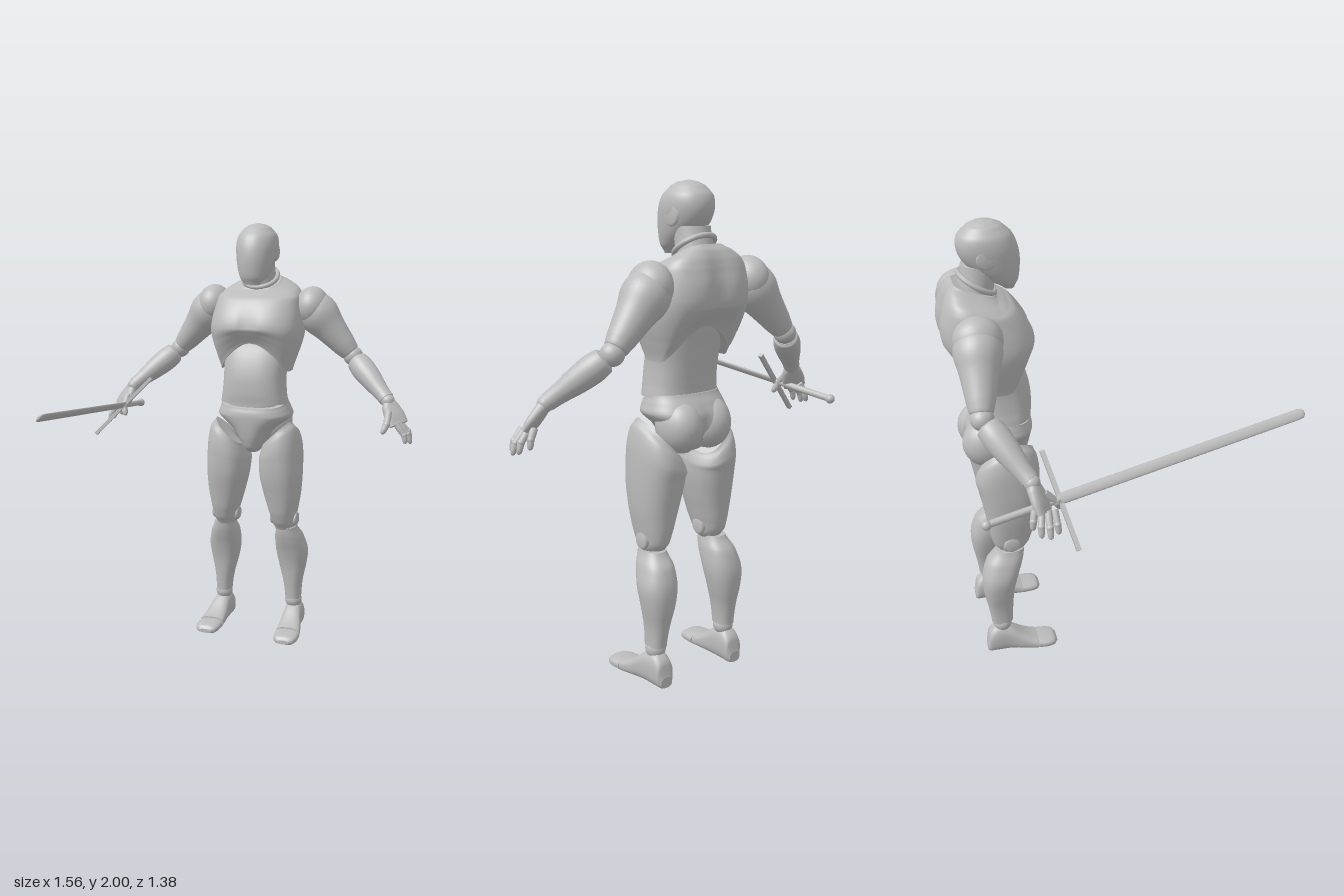
import * as THREE from 'three';

const grey = new THREE.MeshStandardMaterial({ color: 0xbcbcbc });
grey.name = 'grey plastic';
grey.side = THREE.DoubleSide;
const V = (x, y, z) => new THREE.Vector3(x, y, z);
const UP = V(0, 1, 0);
const bell = (v, c, w) => Math.exp(-(((v - c) / w) ** 2));
const ramp = (v, a, b) => Math.min(1, Math.max(0, (v - a) / (b - a)));

function add(group, name, geo, pos) {
  const m = new THREE.Mesh(geo, grey);
  m.name = name;
  if (pos) m.position.copy(pos);
  group.add(m);
  return m;
}

// Smooth closed skin through rows [y, centreX, halfWidth, zFront, zBack]; n = squareness, warp moves points
function loft(rows, { n = 2.4, warp, seg = 48, sub = 5 } = {}) {
  const rings = [];
  for (let i = 0; i < rows.length - 1; i++) {
    const q = [-1, 0, 1, 2].map(k => rows[Math.min(rows.length - 1, Math.max(0, i + k))]);
    for (let s = 0; s < sub; s++) {
      const t = s / sub;
      rings.push(q[0].map((_, k) => {
        const [a, b, c, d] = q.map(r => r[k]);
        return k === 0 ? b + (c - b) * t
          : 0.5 * (2 * b + (c - a) * t + (2 * a - 5 * b + 4 * c - d) * t * t + (3 * b - a - 3 * c + d) * t ** 3);
      }));
    }
  }
  rings.push(rows[rows.length - 1]);
  const pos = [], idx = [];
  const pw = v => Math.sign(v) * Math.abs(v) ** (2 / n);
  const ring = ([y, cx, hw, zf, zb]) => {
    for (let i = 0; i < seg; i++) {
      const a = (i / seg) * Math.PI * 2;
      const p = V(cx + hw * pw(Math.cos(a)), y, (zf + zb) / 2 + ((zf - zb) / 2) * pw(Math.sin(a)));
      if (warp) warp(p);
      pos.push(p.x, p.y, p.z);
    }
  };
  rings.forEach(ring);
  for (let j = 0; j < rings.length - 1; j++) for (let i = 0; i < seg; i++) {
    const a = j * seg + i, b = j * seg + (i + 1) % seg;
    idx.push(a, a + seg, b, b, a + seg, b + seg);
  }
  // End caps with their own rings so the rims stay crisp
  [rings[0], rings[rings.length - 1]].forEach((r, top) => {
    const s = pos.length / 3;
    ring(r);
    const c = V(r[1], r[0], (r[3] + r[4]) / 2);
    if (warp) warp(c);
    pos.push(c.x, c.y, c.z);
    for (let i = 0; i < seg; i++) {
      const j = (i + 1) % seg;
      idx.push(s + seg, s + (top ? j : i), s + (top ? i : j));
    }
  });
  const g = new THREE.BufferGeometry();
  g.setAttribute('position', new THREE.Float32BufferAttribute(pos, 3));
  g.setIndex(idx);
  g.computeVertexNormals();
  return g;
}

// Limb from a to b, rows [fraction, radius]
function bone(group, name, a, b, rows, seg = 32) {
  const d = b.clone().sub(a), L = d.length();
  const m = add(group, name, loft(rows.map(([t, r]) => [t * L, 0, r, r, -r]), { n: 2, seg, sub: 4 }), a);
  m.quaternion.setFromUnitVectors(UP, d.normalize());
}

const ball = (group, name, r, p) => add(group, name, new THREE.SphereGeometry(r, 28, 20), p);
function disc(group, name, r, len, p) {
  const b = 0.008, h = len / 2;
  const prof = [[0, -h], [r - b, -h], [r, -h + b], [r, h - b], [r - b, h], [0, h]].map(([x, y]) => new THREE.Vector2(x, y));
  add(group, name, new THREE.LatheGeometry(prof, 28).rotateZ(Math.PI / 2), p);
}

function buildTrunk(g) {
  add(g, 'head', loft([
    [1.722, 0, 0.036, -0.372, -0.42], [1.755, 0, 0.062, -0.356, -0.47], [1.8, 0, 0.08, -0.348, -0.53],
    [1.85, 0, 0.091, -0.346, -0.575], [1.9, 0, 0.096, -0.354, -0.592], [1.945, 0, 0.088, -0.374, -0.584],
    [1.98, 0, 0.06, -0.41, -0.55], [1.994, 0, 0.035, -0.44, -0.52], [2, 0, 0.006, -0.476, -0.488]], { n: 2.1 }));
  for (const s of [-1, 1]) disc(g, 'earDisc', 0.042, 0.02, V(s * 0.084, 1.87, -0.485));
  add(g, 'neck', loft([[1.64, 0, 0.085, -0.46, -0.62], [1.72, 0, 0.076, -0.455, -0.605], [1.83, 0, 0.07, -0.43, -0.58]], { n: 2 }));
  const collar = add(g, 'collar', new THREE.TorusGeometry(0.082, 0.011, 10, 40), V(0, 1.753, -0.522));
  collar.rotation.x = Math.PI / 2 + 0.58;

  // Chest with arched lower rim, pectoral cleft, spine groove and a neckline lower at the front
  add(g, 'chest', loft([
    [1.32, 0, 0.168, -0.365, -0.605], [1.4, 0, 0.192, -0.345, -0.63], [1.46, 0, 0.21, -0.326, -0.655],
    [1.51, 0, 0.218, -0.311, -0.675], [1.56, 0, 0.215, -0.318, -0.69], [1.62, 0, 0.205, -0.35, -0.69],
    [1.68, 0, 0.192, -0.395, -0.675], [1.715, 0, 0.17, -0.42, -0.662], [1.745, 0, 0.125, -0.442, -0.645],
    [1.768, 0, 0.09, -0.452, -0.622]], {
    n: 2.8, seg: 72, warp: p => {
      if (p.z > -0.5) p.z -= 0.016 * bell(p.x, 0, 0.03) * bell(p.y, 1.54, 0.08);
      else p.z += 0.022 * bell(p.x, 0, 0.045) * bell(p.y, 1.58, 0.16);
      p.y -= 0.065 * ramp(p.y, 1.66, 1.768) * ramp(p.z, -0.622, -0.452);
      if (p.y < 1.53) p.y += 0.135 * Math.max(0, 1 - (p.x / 0.165) ** 2) * (1.53 - p.y) / 0.21;
    }
  }));
  add(g, 'abdomen', loft([
    [1.17, 0, 0.16, -0.338, -0.56], [1.22, 0, 0.152, -0.333, -0.562], [1.3, 0, 0.147, -0.337, -0.572],
    [1.38, 0, 0.152, -0.358, -0.585], [1.47, 0, 0.15, -0.395, -0.6]], { n: 2.6 }));
  add(g, 'waistJoint', loft([[1.1, 0, 0.13, -0.36, -0.56], [1.2, 0, 0.135, -0.355, -0.55]]));
  // Pelvis: upper rim dips at the front, lower half widens towards the back
  add(g, 'pelvis', loft([
    [0.93, 0, 0.028, -0.39, -0.5], [0.955, 0, 0.046, -0.365, -0.55], [1.0, 0, 0.074, -0.348, -0.595],
    [1.05, 0, 0.112, -0.338, -0.622], [1.105, 0, 0.176, -0.333, -0.618], [1.15, 0, 0.17, -0.335, -0.595],
    [1.19, 0, 0.158, -0.342, -0.57]], {
    n: 2.4, seg: 64, warp: p => {
      if (p.y > 1.1) p.y -= 0.04 * (p.y - 1.1) / 0.09 * bell(p.z, -0.33, 0.12);
      p.x *= 1 + 0.6 * ramp(p.z, -0.48, -0.58) * bell(p.y, 1.0, 0.05);
      if (p.z < -0.5) p.z += 0.025 * bell(p.x, 0, 0.02) * bell(p.y, 1.02, 0.08);
    }
  }));
  for (const s of [-1, 1]) ball(g, 'buttock', 1, V(s * 0.074, 1.06, -0.535)).scale.set(0.088, 0.108, 0.104);
}

function buildLeg(g, s) {
  const side = rows => rows.map(([y, x, ...r]) => [y, s * x, ...r]);
  // Thigh with its top cut sloping down towards the crotch and the back
  add(g, 'thigh', loft(side([
    [1.09, 0.117, 0.068, -0.35, -0.575], [1.04, 0.125, 0.085, -0.338, -0.592], [0.98, 0.129, 0.096, -0.331, -0.6],
    [0.92, 0.131, 0.1, -0.33, -0.602], [0.82, 0.134, 0.099, -0.335, -0.588], [0.72, 0.142, 0.085, -0.355, -0.572],
    [0.64, 0.147, 0.067, -0.372, -0.562], [0.585, 0.15, 0.053, -0.392, -0.55], [0.548, 0.15, 0.04, -0.415, -0.525]]), {
    warp: p => {
      p.y -= ramp(p.y, 0.86, 1.09) * (0.95 * (0.185 - s * p.x) + 0.06 * ramp(p.z, -0.42, -0.58));
    }
  }));
  ball(g, 'kneeBall', 1, V(s * 0.15, 0.59, -0.475)).scale.set(0.064, 0.058, 0.058);
  disc(g, 'kneeDisc', 0.036, 0.134, V(s * 0.15, 0.596, -0.475));
  add(g, 'calf', loft(side([
    [0.555, 0.16, 0.047, -0.418, -0.545], [0.5, 0.166, 0.066, -0.428, -0.588], [0.42, 0.175, 0.077, -0.455, -0.612],
    [0.34, 0.178, 0.066, -0.475, -0.612], [0.25, 0.181, 0.046, -0.485, -0.598], [0.165, 0.184, 0.038, -0.492, -0.588]])));
  ball(g, 'ankleBall', 0.042, V(s * 0.185, 0.15, -0.54));
  // Foot sections run heel to toe: [z, x, halfWidth, 0, -height]
  const lay = rows => loft(side(rows), { n: 2.6, sub: 4 }).rotateX(Math.PI / 2);
  add(g, 'foot', lay([[-0.617, 0.187, 0.028, -0.005, -0.05], [-0.605, 0.187, 0.04, 0, -0.11], [-0.57, 0.188, 0.045, 0, -0.14],
    [-0.51, 0.19, 0.046, 0, -0.128], [-0.45, 0.195, 0.054, 0, -0.085], [-0.39, 0.2, 0.06, 0, -0.055]]));
  add(g, 'toes', lay([[-0.386, 0.2, 0.06, 0, -0.05], [-0.34, 0.202, 0.06, 0, -0.046],
    [-0.31, 0.202, 0.05, 0, -0.04], [-0.296, 0.202, 0.03, -0.006, -0.026]]));
}

function buildArm(g, s) {
  const P = (x, y, z) => V(s * x, y, z);
  const elbow = P(0.44, 1.39, -0.592), wrist = P(0.638, 1.21, -0.452);
  ball(g, 'shoulder', 1, P(0.245, 1.618, -0.562)).scale.set(0.08, 0.094, 0.098);
  bone(g, 'upperArm', P(0.215, 1.65, -0.56), P(0.432, 1.4, -0.592), [
    [0, 0.05], [0.06, 0.075], [0.18, 0.092], [0.32, 0.094], [0.5, 0.078], [0.68, 0.066], [0.85, 0.056], [0.97, 0.046], [1, 0.035]]);
  ball(g, 'elbowBall', 0.046, elbow);
  bone(g, 'forearm', elbow, wrist, [[0.1, 0.038], [0.13, 0.05], [0.3, 0.056], [0.55, 0.05], [0.8, 0.039], [0.97, 0.035]]);
  ball(g, 'wristBall', 0.032, wrist);

  // Palm: flattened block spread across z
  const knuckle = P(0.7, 1.11, -0.42), d = knuckle.clone().sub(wrist).normalize();
  const palm = add(g, 'palm', loft([[0, 0, 0.024, 0.028, -0.028], [0.03, 0, 0.024, 0.042, -0.038],
    [0.08, 0, 0.022, 0.052, -0.047], [0.122, 0, 0.016, 0.05, -0.045]], { seg: 28 }), wrist);
  palm.quaternion.setFromUnitVectors(UP, d);
  // Fingers in two bent segments, thumb last
  const digits = [
    [[0.69, 1.125, -0.455], [0.712, 1.088, -0.466], [0.718, 1.052, -0.47]],
    [[0.698, 1.118, -0.432], [0.738, 1.078, -0.442], [0.751, 1.035, -0.444]],
    [[0.7, 1.115, -0.407], [0.742, 1.07, -0.41], [0.757, 1.026, -0.41]],
    [[0.695, 1.115, -0.382], [0.73, 1.07, -0.379], [0.74, 1.032, -0.376]],
    [[0.652, 1.165, -0.41], [0.652, 1.115, -0.364], [0.636, 1.075, -0.345]]];
  digits.forEach((q, i) => {
    const [a, b, c] = q.map(v => P(...v)), r = i === 4 ? 0.016 : 0.0142;
    const name = i === 4 ? 'thumb' : 'finger';
    bone(g, name, a, b, [[0, r], [0.5, r], [1, r * 0.9]], 12);
    ball(g, name + 'Joint', r, b);
    bone(g, name + 'Tip', b, c, [[0, r * 0.95], [0.6, r * 0.85], [0.9, r * 0.6], [1, r * 0.2]], 12);
  });
}

function buildSword() {
  const sword = new THREE.Group();
  sword.name = 'sword';
  const pommel = V(-0.673, 1.087, -0.64), z = V(-0.498, 1.262, 0.69).sub(pommel);
  const L = z.length();
  z.normalize();
  const y = z.clone().cross(V(0.28, 0.29, -0.075)).normalize(), x = y.clone().cross(z);
  sword.quaternion.setFromRotationMatrix(new THREE.Matrix4().makeBasis(x, y, z));
  sword.position.copy(pommel);
  // Blade: flat section with a rounded tip
  const w = 0.022, t = 0.008;
  add(sword, 'blade', loft([[0.29, 0, w, t, -t], [L - 0.03, 0, w, t, -t], [L - 0.01, 0, w * 0.85, t, -t],
    [L, 0, w * 0.4, t * 0.5, -t * 0.5]], { n: 2, seg: 20 }).rotateX(Math.PI / 2));
  add(sword, 'grip', new THREE.CylinderGeometry(0.014, 0.014, 0.29, 16).rotateX(Math.PI / 2), V(0, 0, 0.15));
  add(sword, 'crossguard', new THREE.BoxGeometry(0.4, 0.016, 0.018), V(-0.004, -0.004, 0.295));
  ball(sword, 'pommel', 0.02, V(0, 0, 0.004));
  return sword;
}

export function createModel() {
  const model = new THREE.Group();
  const figure = new THREE.Group();
  figure.name = 'figure';
  figure.position.x = 0.015;
  buildTrunk(figure);
  for (const s of [1, -1]) {
    buildLeg(figure, s);
    buildArm(figure, s);
  }
  model.add(figure, buildSword());
  return model;
}
